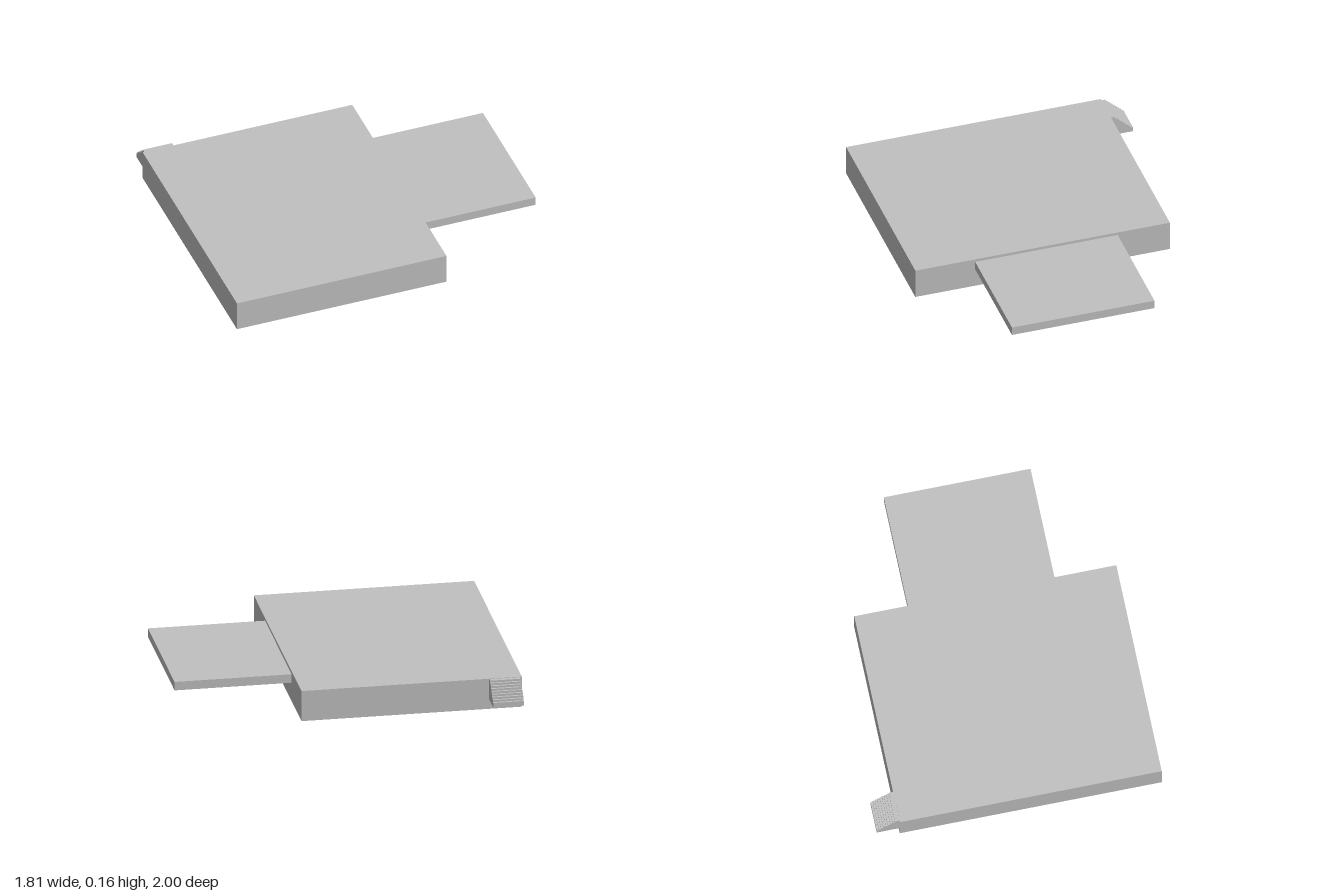
import * as THREE from 'three';

export function createModel() {
  const model = new THREE.Group();
  model.name = 'steppedSlab';
  const grey = new THREE.MeshStandardMaterial({ color: 0xc0c0c0 });
  grey.name = 'grey';

  // All parts share one turned frame
  const frame = new THREE.Group();
  frame.name = 'turnedFrame';
  frame.position.set(0.036, 0, 0.188);
  frame.rotation.y = -THREE.MathUtils.degToRad(29.25);
  model.add(frame);

  function add(name, geometry, x, y, z) {
    const mesh = new THREE.Mesh(geometry, grey);
    mesh.name = name;
    mesh.position.set(x, y, z);
    frame.add(mesh);
  }

  // Main slab and the thinner terrace behind it
  add('mainSlab', new THREE.BoxGeometry(1.327, 0.16, 1.11), 0, 0.08, 0);
  add('rearTerrace', new THREE.BoxGeometry(0.743, 0.045, 0.59), -0.02, 0.1225, -0.85);

  // Small staircase on the side: stepped profile, extruded across its width
  const steps = 8, outer = -0.778, inner = -0.6635, run = 0.0115, low = 0.075, top = 0.158;
  const profile = new THREE.Shape();
  profile.moveTo(inner, 0.05);
  profile.lineTo(outer, 0.05);
  for (let i = 0; i <= steps; i++) {
    const y = low + (top - low) * i / steps;
    profile.lineTo(outer + i * run, y);
    profile.lineTo(i === steps ? inner : outer + (i + 1) * run, y);
  }
  add('sideStairs', new THREE.ExtrudeGeometry(profile, { depth: 0.155, bevelEnabled: false }), 0, 0, 0.391);

  return model;
}
